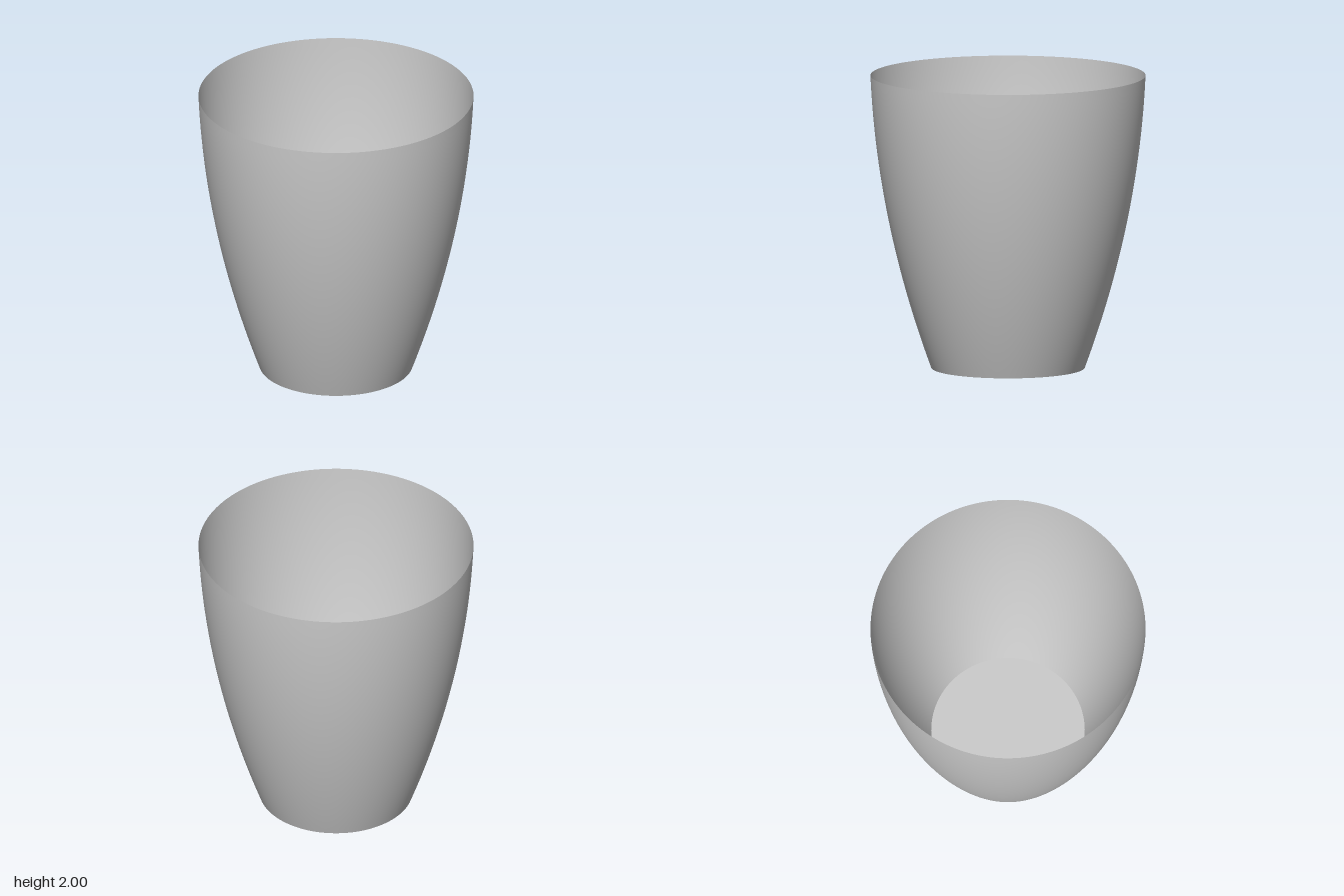
import * as THREE from 'three';

const SEGMENTS = 128;
const HEIGHT = 2;
const BASE_RADIUS = 0.52;

// Wall radius at a height: flares from the base and straightens toward the rim
const radiusAt = (y) => BASE_RADIUS + 0.368 * y - 0.081 * y * y;

export function createModel() {
  const group = new THREE.Group();
  group.name = 'cup';
  const material = new THREE.MeshStandardMaterial({ color: 0xcccccc, side: THREE.DoubleSide });

  // Thin, open-topped curved wall
  const profile = [];
  const steps = 32;
  for (let i = 0; i <= steps; i++) {
    const y = (HEIGHT * i) / steps;
    profile.push(new THREE.Vector2(radiusAt(y), y));
  }
  const wall = new THREE.Mesh(new THREE.LatheGeometry(profile, SEGMENTS), material);
  wall.name = 'wall';

  // Flat floor disc closing the bottom
  const floor = new THREE.Mesh(new THREE.CircleGeometry(BASE_RADIUS, SEGMENTS), material);
  floor.name = 'floor';
  floor.rotation.x = -Math.PI / 2;

  group.add(wall, floor);
  return group;
}
